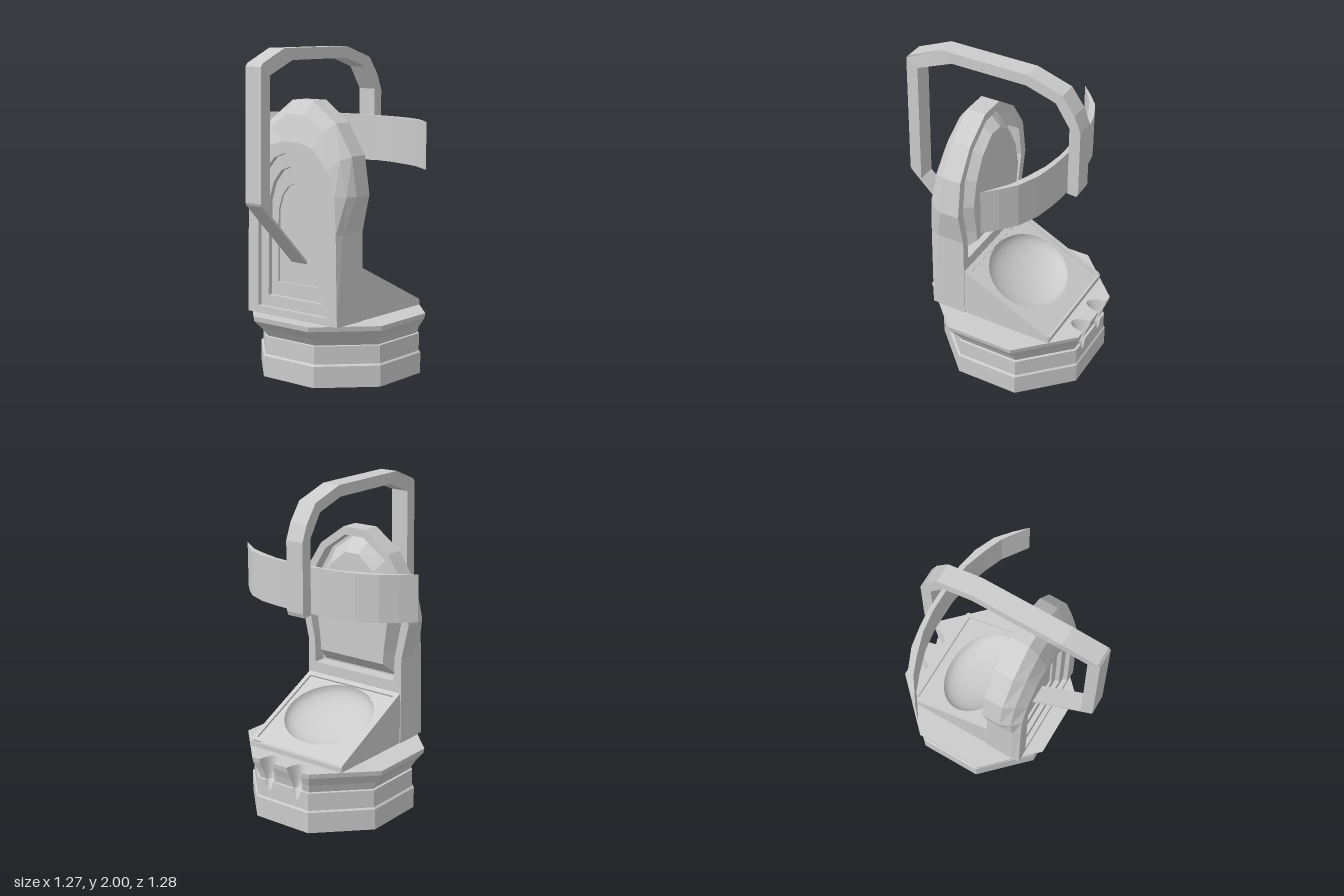
import * as THREE from 'three';

const CZ = 0.025; // depth of the chair's own mid-plane
const flat = new THREE.MeshStandardMaterial({ color: 0xcccccc, flatShading: true, side: THREE.DoubleSide });
const smooth = new THREE.MeshStandardMaterial({ color: 0xcccccc, side: THREE.DoubleSide });
const V = (x, y, z) => new THREE.Vector3(x, y, z);

function add(parent, name, geometry, material = flat) {
  const mesh = new THREE.Mesh(geometry, material);
  mesh.name = name;
  parent.add(mesh);
  return mesh;
}

// Skin a list of equally long rings; optional fan caps on the first and last ring.
function loft(rings, { closed = true, capStart = false, capEnd = false } = {}) {
  const n = rings[0].length, pos = [], idx = [];
  rings.forEach(r => r.forEach(p => pos.push(p.x, p.y, p.z)));
  for (let i = 0; i < rings.length - 1; i++) {
    for (let j = 0; j < (closed ? n : n - 1); j++) {
      const a = i * n + j, b = i * n + (j + 1) % n;
      idx.push(a, a + n, b, b, a + n, b + n);
    }
  }
  const cap = (k, flip) => {
    const c = V(0, 0, 0);
    rings[k].forEach(p => c.addScaledVector(p, 1 / n));
    const ci = pos.length / 3;
    pos.push(c.x, c.y, c.z);
    for (let j = 0; j < n; j++) {
      const a = k * n + j, b = k * n + (j + 1) % n;
      if (flip) idx.push(ci, b, a); else idx.push(ci, a, b);
    }
  };
  if (capStart) cap(0, false);
  if (capEnd) cap(rings.length - 1, true);
  const g = new THREE.BufferGeometry();
  g.setAttribute('position', new THREE.Float32BufferAttribute(pos, 3));
  g.setIndex(idx);
  g.computeVertexNormals();
  return g;
}

const shapeOf = pts => new THREE.Shape(pts.map(p => new THREE.Vector2(p[0], p[1])));
// Horizontal sheet from (x, z) points
const sheet = (pts, hole) => {
  const s = shapeOf(pts);
  if (hole) s.holes.push(shapeOf(hole));
  return new THREE.ShapeGeometry(s).rotateX(Math.PI / 2);
};

// ---- Octagonal pedestal with two cups cut into its front rim ----
// profile rows: height, apothem, centre x
const PROFILE = [[0.14, 0.472, 0.145], [0.25, 0.472, 0.145], [0.252, 0.457, 0.145],
  [0.3, 0.482, 0.132], [0.355, 0.52, 0.115], [0.385, 0.525, 0.115]];
const T8 = Math.tan(Math.PI / 8);

function octagon([y, a, cx]) {
  const r = a / Math.cos(Math.PI / 8);
  return Array.from({ length: 8 }, (_, i) => {
    const t = (i + 0.5) * Math.PI / 4;
    return V(cx + r * Math.cos(t), y, r * Math.sin(t));
  });
}

function profileAt(y) {
  let i = 0;
  while (i < PROFILE.length - 2 && y > PROFILE[i + 1][0]) i++;
  const [p, q] = [PROFILE[i], PROFILE[i + 1]];
  const t = (y - p[0]) / (q[0] - p[0]);
  return p.map((v, k) => v + (q[k] - v) * t);
}

const CUP_Z = 0.107, CUP_LOW = 0.19, RIM = 0.385;
const cupSize = y => Math.sqrt(Math.max(0, (y - CUP_LOW) / (RIM - CUP_LOW)));

function cupArc(y, cz) {
  const [, a, cx] = profileAt(y), s = cupSize(y);
  return Array.from({ length: 13 }, (_, i) => {
    const t = i / 12 * Math.PI;
    return V(cx + a - 0.105 * s * s * Math.sin(t), y, cz + 0.055 * s * Math.cos(t));
  });
}

function buildPedestal() {
  const g = new THREE.Group();
  g.name = 'pedestal';
  add(g, 'plinth', loft([[0, 0.483, 0.143], [0.13, 0.483, 0.143], [0.14, 0.472, 0.145]].map(octagon), { capStart: true }));
  add(g, 'pedestalSides', loft(PROFILE.map(octagon), { closed: false }));
  // front face in three strips around the cups
  const levels = [0.14, 0.19, 0.2, 0.22, 0.25, 0.252, 0.3, 0.355, 0.385];
  const strip = (from, to) => loft(levels.map(y => {
    const [, a, cx] = profileAt(y), w = 0.055 * cupSize(y);
    return [V(cx + a, y, from(a, w)), V(cx + a, y, to(a, w))];
  }), { closed: false });
  add(g, 'frontFaceLeft', strip((a, w) => CUP_Z + w, a => a * T8));
  add(g, 'frontFaceMiddle', strip((a, w) => -CUP_Z + w, (a, w) => CUP_Z - w));
  add(g, 'frontFaceRight', strip(a => -a * T8, (a, w) => -CUP_Z - w));
  for (const z of [CUP_Z, -CUP_Z])
    add(g, 'rimCup', loft(levels.slice(1).map(y => cupArc(y, z)), { closed: false }), smooth);
  // deck, following the cup edges along its front
  const xz = p => [p.x, p.z];
  add(g, 'deck', sheet([...octagon(PROFILE[5]).map(xz),
    ...cupArc(RIM, -CUP_Z).reverse().map(xz), ...cupArc(RIM, CUP_Z).reverse().map(xz)])).position.y = RIM;
  return g;
}

// ---- Sloping seat with a scooped bowl ----
function buildSeat() {
  const g = new THREE.Group();
  g.name = 'seat';
  const side = shapeOf([[-0.2, 0.385], [0.505, 0.385], [0.505, 0.405], [0.495, 0.425], [-0.08, 0.71], [-0.2, 0.71]]);
  for (const z of [-0.355, 0.335])
    add(g, 'seatSide', new THREE.ExtrudeGeometry(side, { depth: 0.02, bevelEnabled: false }).translate(0, 0, z));
  add(g, 'seatLip', new THREE.BoxGeometry(0.015, 0.03, 0.7).translate(0.4975, 0.4, 0));

  const slope = new THREE.Group();
  slope.name = 'seatTop';
  slope.position.set(-0.08, 0.71, 0);
  slope.rotation.z = Math.atan2(-0.285, 0.575);
  const rect = (a, b, w) => [[a, -w], [b, -w], [b, w], [a, w]];
  const inner = rect(0.034, 0.615, 0.325);
  add(slope, 'seatRim', sheet(rect(0, 0.643, 0.355), inner));
  add(slope, 'seatRimStep', loft([0, -0.012].map(y => inner.map(([u, z]) => V(u, y, z)))));
  const ellipse = (k, y) => Array.from({ length: 40 }, (_, i) => {
    const t = i / 20 * Math.PI;
    return V(0.29 + 0.255 * k * Math.cos(t), y, 0.3 * k * Math.sin(t));
  });
  add(slope, 'seatPanel', sheet(inner, ellipse(1, 0).map(p => [p.x, p.z]))).position.y = -0.012;
  const bowl = Array.from({ length: 9 }, (_, i) => {
    const t = i / 8 * Math.PI / 2;
    return ellipse(Math.max(Math.cos(t), 0.001), -0.012 - 0.11 * Math.sin(t));
  });
  add(slope, 'seatBowl', loft(bowl), smooth);
  g.add(slope);
  return g;
}

// ---- Arched backrest ----
// half outlines, [half width, height] from the foot to the crown
const OUTER = [[0.36, 0.385], [0.36, 0.93], [0.41, 1.15], [0.375, 1.38], [0.255, 1.565], [0.08, 1.69]];
const MIDBACK = [[0.36, 0.385], [0.36, 0.93], [0.385, 1.15], [0.335, 1.36], [0.21, 1.52], [0.07, 1.61]];
const BACK = [[0.355, 0.385], [0.345, 0.93], [0.335, 1.15], [0.275, 1.3], [0.17, 1.42], [0.06, 1.45]];
const OPENING = [[0.305, 0.78], [0.31, 0.93], [0.355, 1.15], [0.325, 1.36], [0.225, 1.53], [0.07, 1.64]];
const PAD_BASE = [[0.285, 0.79], [0.295, 0.93], [0.335, 1.15], [0.3, 1.35], [0.205, 1.52], [0.065, 1.62]];
const PAD_FACE = [[0.24, 0.88], [0.245, 0.96], [0.27, 1.15], [0.235, 1.31], [0.16, 1.45], [0.05, 1.54]];
// nested recess on the rear
const REAR = [[0.27, 0.43], [0.265, 0.93], [0.26, 1.12], [0.21, 1.26], [0.13, 1.35], [0.05, 1.38]];

const arch = (x, half) => [...half.map(([w, y]) => V(x, y, w)), ...[...half].reverse().map(([w, y]) => V(x, y, -w))];
const shrink = (half, k) => half.map(([w, y]) => [w * k, 0.86 + (y - 0.86) * (k + 0.06)]);

function buildBackrest() {
  const g = new THREE.Group();
  g.name = 'backrest';
  const r2 = shrink(REAR, 0.78), r3 = shrink(REAR, 0.58);
  add(g, 'backrestShell', loft([
    arch(-0.16, OPENING), arch(-0.08, OPENING), arch(-0.08, OUTER), arch(-0.2, OUTER),
    arch(-0.26, MIDBACK), arch(-0.31, BACK), arch(-0.31, REAR), arch(-0.28, REAR),
    arch(-0.28, r2), arch(-0.25, r2), arch(-0.25, r3), arch(-0.235, r3),
  ], { capStart: true, capEnd: true }));
  add(g, 'backrestPad', loft([arch(-0.16, PAD_BASE), arch(-0.055, PAD_FACE)], { capEnd: true }));
  return g;
}

// ---- Overhead arm, its brace and the curved visor ----
function buildArm() {
  const g = new THREE.Group();
  g.name = 'overheadArm';
  const extrude = (pts, depth) => new THREE.ExtrudeGeometry(shapeOf(pts), { depth, bevelEnabled: false });
  const arm = extrude([
    [0.44, 1.28], [0.5, 1.275], [0.51, 1.3], [0.51, 1.72], [0.47, 1.82], [0.39, 1.93], [0.17, 2], [-0.4, 2],
    [-0.61, 1.92], [-0.625, 1.9], [-0.635, 1.12], [-0.625, 1.1], [-0.56, 1.045],
    [-0.55, 1.85], [-0.33, 1.93], [0.16, 1.93], [0.35, 1.87], [0.44, 1.73],
  ], 0.12).translate(0, 0, -0.06);
  // the arm drifts sideways toward its rear post
  const p = arm.attributes.position;
  for (let i = 0; i < p.count; i++)
    p.setZ(i, p.getZ(i) + CZ * THREE.MathUtils.clamp((-0.4 - p.getX(i)) / 0.15, 0, 1));
  add(g, 'armBow', arm);
  add(g, 'armBrace', extrude([[-0.63, 1.105], [-0.235, 0.715], [-0.235, 0.735], [-0.61, 1.105]], 0.12).translate(0, 0, CZ - 0.06));

  // crescent visor, given as [x, z] along half of each edge
  const front = [[0.437, 0], [0.437, 0.1], [0.425, 0.22], [0.4, 0.35], [0.345, 0.475], [0.27, 0.565], [0.195, 0.64]];
  const rear = [[0.3, 0.49], [0.345, 0.38], [0.39, 0.24], [0.41, 0.1]];
  const half = [...front, ...rear];
  const outline = [...half, ...half.slice(1).reverse().map(([x, z]) => [x, -z])];
  // reorder so the loop runs front edge, left tip, rear edge, right tip
  add(g, 'visor', extrude(outline, 0.28).rotateX(Math.PI / 2).translate(0, 1.567, 0));
  return g;
}

export function createModel() {
  const model = new THREE.Group();
  model.name = 'reclinerChair';
  for (const part of [buildPedestal(), buildSeat(), buildBackrest()]) {
    part.position.z = CZ;
    model.add(part);
  }
  model.add(buildArm());
  return model;
}
